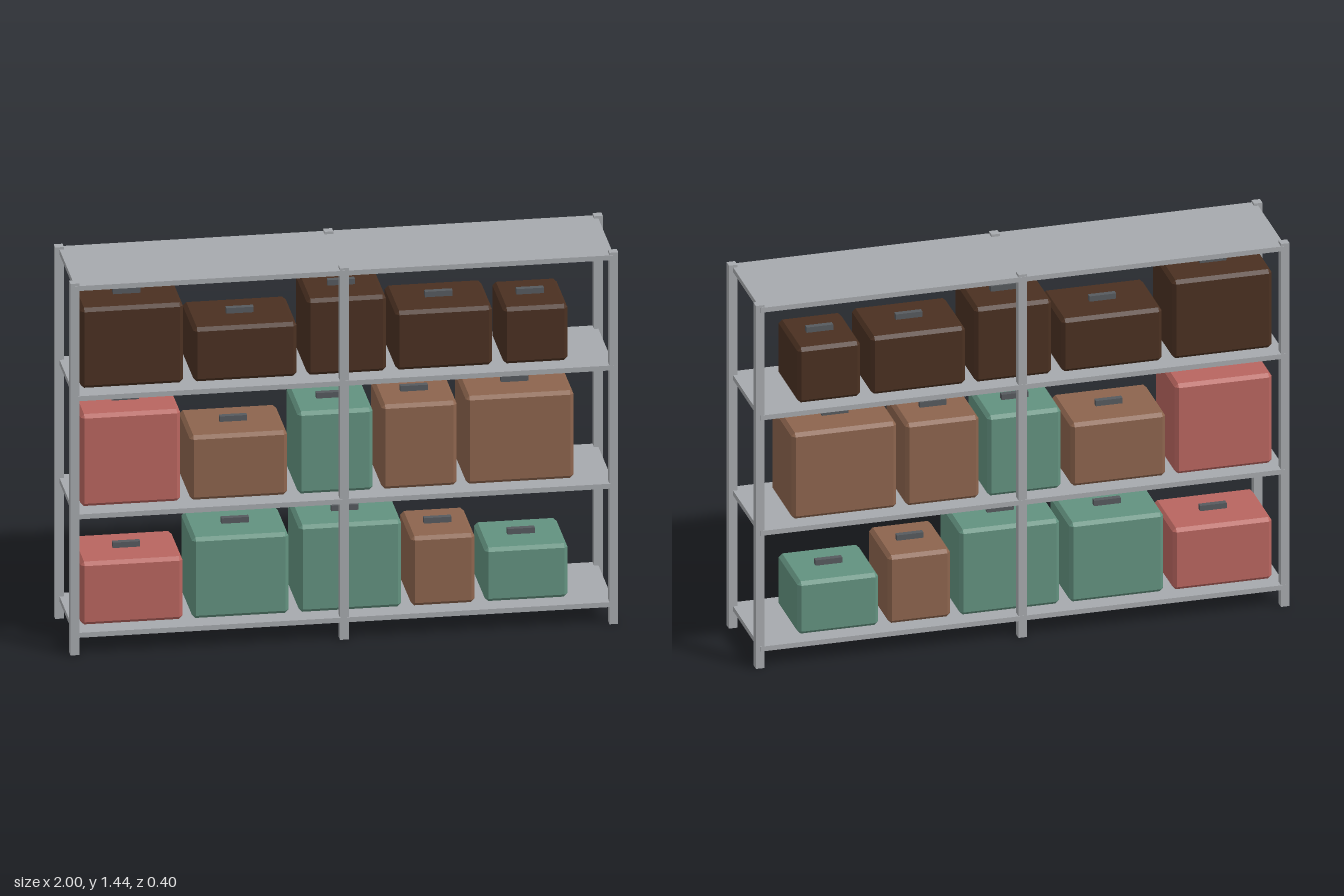
import * as THREE from 'three';
import { ConvexGeometry } from 'three/addons/geometries/ConvexGeometry.js';

const mat = (name, color) => {
  const m = new THREE.MeshStandardMaterial({ color });
  m.name = name;
  return m;
};

// Box with every edge chamfered by c, centred on its origin
function chamferBox(w, h, d, c) {
  const pts = [];
  const half = [w / 2, h / 2, d / 2];
  for (const sx of [-1, 1]) for (const sy of [-1, 1]) for (const sz of [-1, 1]) {
    for (let axis = 0; axis < 3; axis++) {
      const [x, y, z] = half.map((v, i) => (i === axis ? v : v - c));
      pts.push(new THREE.Vector3(sx * x, sy * y, sz * z));
    }
  }
  return new ConvexGeometry(pts);
}

export function createModel() {
  const root = new THREE.Group();
  root.name = 'storageRack';

  const metal = mat('grey metal', 0xa6a9ad);
  const handleGrey = mat('dark handle grey', 0x565a5e);
  const red = mat('dusty red', 0xb8655f);
  const green = mat('sage green', 0x62917f);
  const tan = mat('tan brown', 0x8c644d);
  const dark = mat('dark brown', 0x4a3021);

  const add = (parent, name, geometry, material, x, y, z) => {
    const mesh = new THREE.Mesh(geometry, material);
    mesh.name = name;
    mesh.position.set(x, y, z);
    parent.add(mesh);
  };

  // Upright posts: three along the front, three along the back
  const postGeo = new THREE.BoxGeometry(0.032, 1.443, 0.033);
  for (const x of [-0.984, 0, 0.984]) {
    for (const z of [-0.18, 0.18]) add(root, 'post', postGeo, metal, x, 0.7215, z);
  }

  // Shelf boards
  const shelfGeo = new THREE.BoxGeometry(1.968, 0.019, 0.396);
  for (const y of [0.077, 0.537, 0.996, 1.424]) add(root, 'shelf', shelfGeo, metal, 0, y, 0);

  // Cases on each shelf: [left edge, right edge, top, colour]
  const rows = [
    { base: 0.087, cases: [
      [-0.952, -0.58, 0.331, red], [-0.545, -0.193, 0.401, green], [-0.155, 0.219, 0.425, green],
      [0.254, 0.487, 0.356, tan], [0.524, 0.826, 0.295, green]] },
    { base: 0.547, cases: [
      [-0.952, -0.588, 0.904, red], [-0.553, -0.198, 0.797, tan], [-0.16, 0.115, 0.866, green],
      [0.147, 0.422, 0.874, tan], [0.455, 0.848, 0.888, tan]] },
    { base: 1.006, cases: [
      [-0.952, -0.578, 1.317, dark], [-0.54, -0.163, 1.216, dark], [-0.126, 0.163, 1.302, dark],
      [0.198, 0.551, 1.235, dark], [0.591, 0.826, 1.225, dark]] },
  ];
  const depth = 0.274, caseZ = -0.004;
  const handleGeo = new THREE.BoxGeometry(0.1, 0.022, 0.021);
  for (const { base, cases } of rows) {
    for (const [x0, x1, top, material] of cases) {
      const storageCase = new THREE.Group();
      storageCase.name = 'storageCase';
      storageCase.position.set((x0 + x1) / 2, base, caseZ);
      const h = top - base;
      add(storageCase, 'caseBody', chamferBox(x1 - x0, h, depth, 0.013), material, 0, h / 2, 0);
      add(storageCase, 'caseHandle', handleGeo, handleGrey, 0, h + 0.01, 0);
      root.add(storageCase);
    }
  }
  return root;
}
